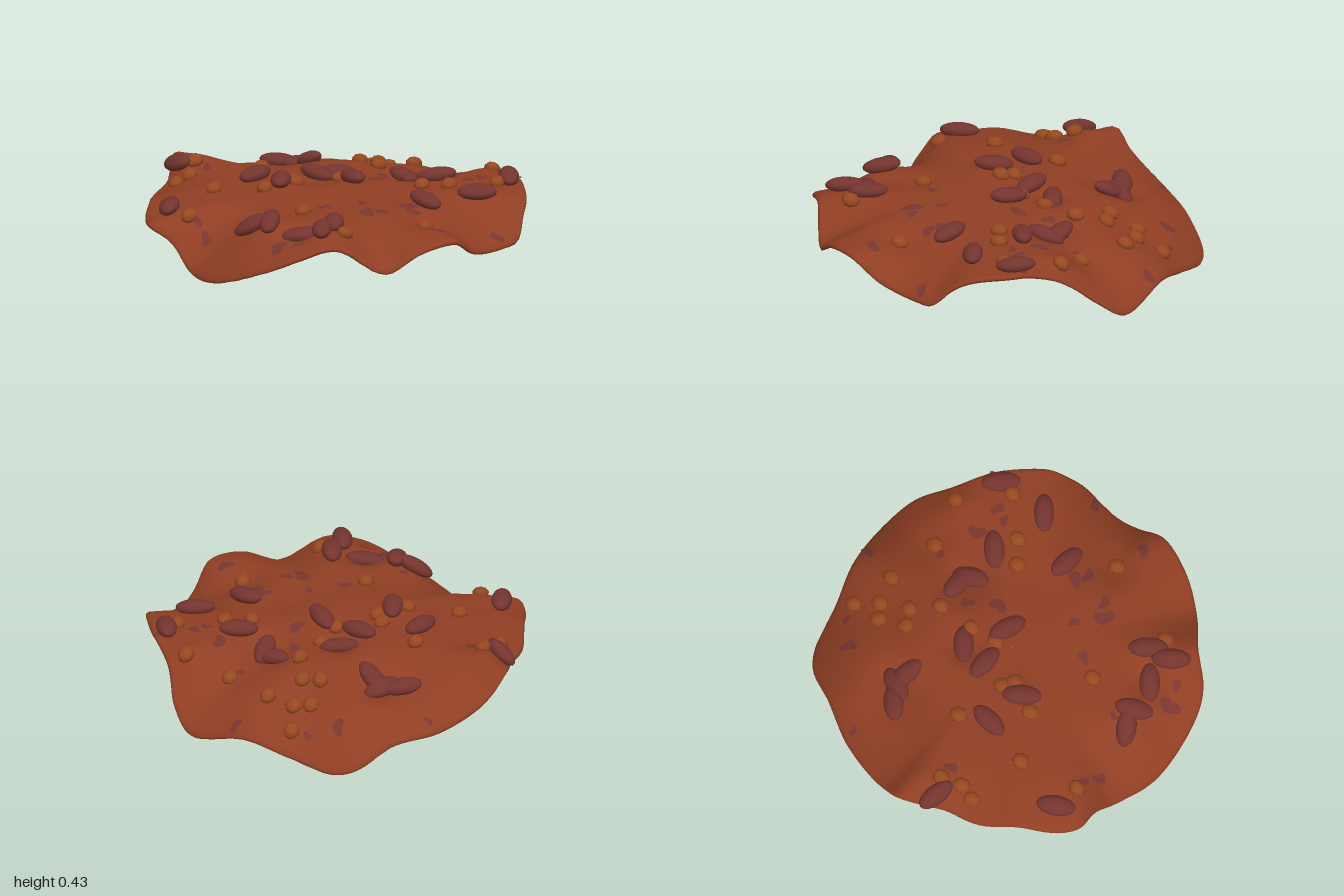
import * as THREE from 'three';

// rim of the sheet: x, y, z going round
const RIM = [
  [0.06, 0.12, -0.98], [0.38, 0.05, -0.95], [0.51, 0.14, -0.875], [0.62, 0.27, -0.725], [0.75, 0.33, -0.6],
  [0.82, 0.33, -0.525], [0.94, 0.31, -0.345], [0.97, 0.26, -0.26], [0.998, 0.165, -0.16], [0.97, 0.15, -0.05],
  [0.94, 0.155, 0.08], [0.935, 0.19, 0.2], [0.93, 0.28, 0.35], [0.83, 0.26, 0.54],
  [0.70, 0.17, 0.68], [0.49, 0.3, 0.815], [0.33, 0.25, 0.94], [0.165, 0.175, 0.978], [-0.155, 0.06, 0.945],
  [-0.36, 0.05, 0.84], [-0.51, 0.18, 0.79], [-0.64, 0.23, 0.775], [-0.72, 0.23, 0.685], [-0.80, 0.26, 0.51],
  [-0.885, 0.23, 0.32], [-0.91, 0.25, 0.14], [-0.95, 0.28, 0.04], [-0.998, 0.33, -0.09], [-0.97, 0.25, -0.18],
  [-0.93, 0.195, -0.29], [-0.82, 0.14, -0.505], [-0.66, 0.125, -0.71], [-0.53, 0.03, -0.875],
  [-0.42, 0.01, -0.93], [-0.18, 0.06, -0.95],
];
// soft swells and hollows inside the sheet: x, z, height, spread
const SWELLS = [
  [0, 0.71, 0.06, 0.15], [0.21, 0.69, -0.055, 0.1], [0.38, 0.74, 0.04, 0.1], [-0.21, 0.18, 0.035, 0.12],
  [0.67, 0.225, -0.05, 0.12], [0.55, -0.665, 0.07, 0.12], [0.31, -0.645, -0.03, 0.12], [-0.1, -0.68, -0.025, 0.2],
  [-0.48, -0.4, -0.035, 0.15], [-0.45, -0.47, -0.03, 0.08], [0.22, -0.4, -0.05, 0.13],
  [-0.11, -0.23, -0.045, 0.1], [0.54, 0, 0.018, 0.12], [-0.86, 0.05, 0.08, 0.1],
];
const N = 180, HALF = 0.016, PLATEAU = 0.335;

// rim resampled at even angles: [radius, height]
const rim = (() => {
  const pts = new THREE.CatmullRomCurve3(RIM.map(p => new THREE.Vector3(...p)), true).getPoints(1200);
  const out = [];
  for (let j = 0; j < N; j++) {
    const a = j / N * Math.PI * 2, c = Math.cos(a), s = Math.sin(a);
    let best = pts[0], score = -2;
    for (const p of pts) {
      const d = (p.x * c + p.z * s) / Math.hypot(p.x, p.z);
      if (d > score) { score = d; best = p; }
    }
    out.push([Math.hypot(best.x, best.z), best.y]);
  }
  return out;
})();

function rimAt(angle) {
  const u = ((angle / (Math.PI * 2)) % 1 + 1) % 1 * N;
  const i = Math.floor(u) % N, k = (i + 1) % N, f = u - Math.floor(u);
  return [0, 1].map(n => rim[i][n] * (1 - f) + rim[k][n] * f);
}

// middle height of the rippled sheet
function heightAt(x, z) {
  const [r, y] = rimAt(Math.atan2(z, x));
  const t = Math.min(Math.hypot(x, z) / r, 1);
  const ripple = 0.01 * Math.sin(8 * (x + z) + 1.2 * Math.sin(4 * x)) + 0.008 * Math.sin(7 * x - 5 * z + 1);
  let swell = 0;
  for (const [sx, sz, h, w] of SWELLS) swell += h * Math.exp(-((x - sx) ** 2 + (z - sz) ** 2) / (w * w));
  return PLATEAU + (y - PLATEAU) * Math.pow(t, 3.5) + ripple * (1 - t * t) + swell * (1 - Math.pow(t, 6));
}

function normalAt(x, z) {
  const e = 0.03;
  return new THREE.Vector3(heightAt(x - e, z) - heightAt(x + e, z), 2 * e,
    heightAt(x, z - e) - heightAt(x, z + e)).normalize();
}

function buildGeometry(positions, index) {
  const g = new THREE.BufferGeometry();
  g.setAttribute('position', new THREE.Float32BufferAttribute(positions, 3));
  g.setIndex(index);
  g.computeVertexNormals();
  return g;
}

// closed sheet: top rings, rounded rim, bottom rings
function sheetGeometry() {
  const profile = [], rings = 36;
  for (let i = 0; i <= rings; i++) profile.push([0.002 + 0.978 * i / rings, HALF]);
  for (let k = 1; k < 6; k++) {
    const a = Math.PI / 2 - k / 6 * Math.PI;
    profile.push([0.98 + 0.022 * Math.cos(a), HALF * Math.sin(a)]);
  }
  for (let i = rings; i >= 0; i--) profile.push([0.002 + 0.978 * i / rings, -HALF]);
  const pos = [], idx = [];
  profile.forEach(([t, dy], i) => {
    for (let j = 0; j < N; j++) {
      const a = j / N * Math.PI * 2, r = rim[j][0] * t;
      const x = r * Math.cos(a), z = r * Math.sin(a);
      pos.push(x, heightAt(x, z) + dy, z);
      if (i === profile.length - 1) continue;
      const p = i * N + j, q = i * N + (j + 1) % N;
      idx.push(p, q, p + N, q, q + N, p + N);
    }
  });
  return buildGeometry(pos, idx);
}

// irregular stain lying on the top (side 1) or the underside (side -1)
function stainGeometry(cx, cz, size, seed, side) {
  const n = 12, pos = [], idx = [];
  const add = (x, z) => pos.push(x, heightAt(x, z) + side * (HALF + 0.004), z);
  add(cx, cz);
  for (const f of [0.5, 1]) for (let j = 0; j < n; j++) {
    const a = j / n * Math.PI * 2;
    const r = size * f * (1 + 0.3 * Math.sin(2 * a + seed) + 0.2 * Math.sin(3 * a + seed * 2.3));
    add(cx + r * Math.cos(a), cz + r * Math.sin(a));
  }
  const tri = (a, b, c) => side > 0 ? idx.push(a, b, c) : idx.push(a, c, b);
  for (let j = 0; j < n; j++) {
    const p = 1 + j, q = 1 + (j + 1) % n;
    tri(0, q, p);
    tri(p, q, p + n);
    tri(q, q + n, p + n);
  }
  return buildGeometry(pos, idx);
}

// x, z, heading in degrees
const BEANS = [
  [-0.55, -0.38, 35], [-0.45, -0.42, 60], [-0.38, -0.4, -25], [0.17, -0.43, -8], [0.24, -0.385, -78],
  [0.41, -0.35, 35], [0.74, -0.51, -55], [0.71, -0.24, 30], [-0.11, -0.23, 30], [-0.15, -0.08, -10],
  [0.07, -0.07, -35], [0.54, 0, -15], [-0.88, 0.06, -20], [-0.41, 0.1, 75], [-0.21, 0.18, -65],
  [-0.61, 0.62, -70], [-0.06, 0.71, 25], [0.03, 0.7, -70], [0.21, 0.69, 30], [0.35, 0.6, -60], [0.36, 0.73, -60],
];
const NUTS = [
  [-0.15, -0.855], [-0.18, -0.69], [-0.1, -0.73], [0.04, -0.745], [-0.16, -0.54], [-0.07, -0.57], [0.01, -0.435],
  [0.31, -0.645], [0.55, -0.665], [0.72, -0.43], [0.4, -0.21], [0.52, -0.28], [-0.01, -0.24], [-0.02, -0.09],
  [-0.46, -0.05], [-0.8, 0.045], [-0.77, 0.15], [-0.8, 0.23], [-0.21, 0.06], [-0.16, 0.11], [-0.26, 0.255],
  [-0.51, 0.35], [0.07, 0.435], [0.67, 0.225], [-0.475, 0.66], [0.44, 0.65],
];
// x, z, size
const STAINS = [
  [0.38, 0.32, 0.045], [0.45, 0.28, 0.03], [0.14, 0.34, 0.03], [0.45, -0.48, 0.04], [0.61, -0.45, 0.03],
  [0.57, -0.39, 0.025], [0.75, -0.55, 0.03], [-0.37, -0.76, 0.035], [-0.24, -0.85, 0.02], [0.28, -0.6, 0.025],
  [0.16, -0.18, 0.04], [0.1, -0.33, 0.03], [0.54, 0.13, 0.035], [0.49, 0.08, 0.04], [0.16, 0.84, 0.045],
  [-0.34, 0.72, 0.03], [0.27, 0.82, 0.025], [-0.05, 0.63, 0.02], [-0.72, 0.06, 0.03], [-0.42, 0.67, 0.025],
  [0.93, -0.06, 0.03], [0.13, -0.94, 0.03], [0.28, 0.2, 0.025], [-0.76, -0.5, 0.02], [0.81, 0.3, 0.035],
];

export function createModel() {
  const material = (name, color) => Object.assign(new THREE.MeshStandardMaterial({ color }), { name });
  const crust = material('baked brown', 0x8f3e23);
  const beanSkin = material('bean maroon', 0x74342f);
  const nutSkin = material('nut brown', 0x984820);
  const stain = material('stain maroon', 0x78362f);
  const model = new THREE.Group();
  model.name = 'toppedFlatbread';

  const add = (parent, name, geometry, mat) => {
    const mesh = new THREE.Mesh(geometry, mat);
    mesh.name = name;
    parent.add(mesh);
    return mesh;
  };
  const group = name => {
    const g = new THREE.Group();
    g.name = name;
    model.add(g);
    return g;
  };
  // rest a topping on the sheet, tilted to the slope
  const rest = (mesh, x, z, lift, heading) => {
    const n = normalAt(x, z);
    mesh.position.set(x, heightAt(x, z) + HALF, z).addScaledVector(n, lift);
    mesh.quaternion.setFromUnitVectors(new THREE.Vector3(0, 1, 0), n)
      .multiply(new THREE.Quaternion().setFromAxisAngle(new THREE.Vector3(0, 1, 0), heading));
  };

  add(model, 'wavySheet', sheetGeometry(), crust);

  const beans = group('beans');
  const beanShape = new THREE.SphereGeometry(1, 16, 12).rotateZ(Math.PI / 2).scale(0.102, 0.04, 0.053);
  for (const [x, z, deg] of BEANS) rest(add(beans, 'bean', beanShape, beanSkin), x, z, 0.024, deg * Math.PI / 180);

  const nuts = group('nuts');
  const nutShape = new THREE.SphereGeometry(1, 8, 5).rotateY(Math.PI / 8).scale(0.043, 0.034, 0.05);
  NUTS.forEach(([x, z], i) => rest(add(nuts, 'nut', nutShape, nutSkin), x, z, 0.008, 0.2 * Math.sin(i * 2)));

  const stains = group('stains');
  STAINS.forEach(([x, z, size], i) => {
    add(stains, 'topStain', stainGeometry(x, z, size, i * 1.7, 1), stain);
    if (i % 2) add(stains, 'undersideStain', stainGeometry(x, z, size, i * 1.7, -1), stain);
  });
  return model;
}
